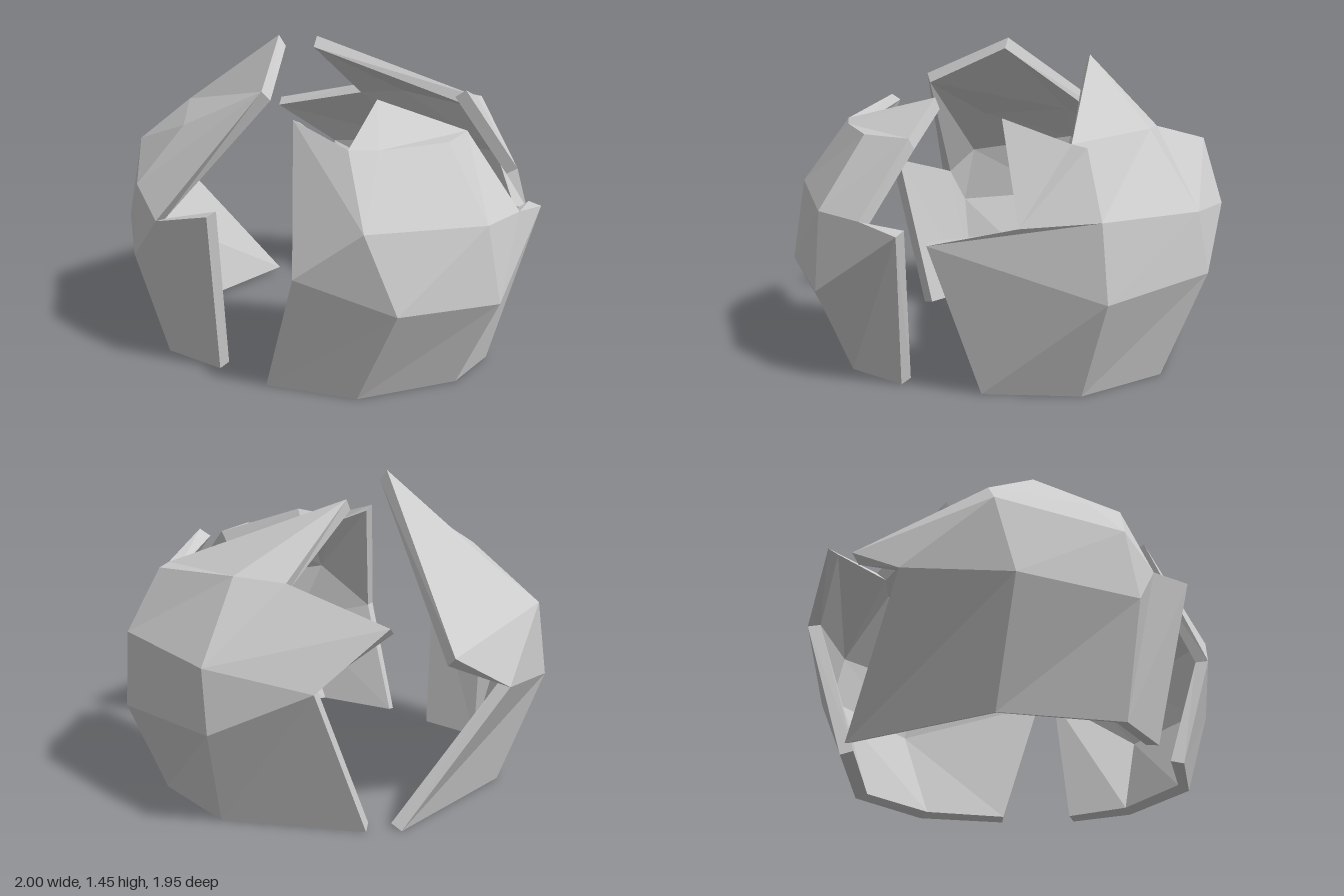
import * as THREE from 'three';

const THICKNESS = 0.06;

// Turns an outer skin of named corners and polygons into a solid plate:
// outer skin, inner skin pushed in along the normals, and walls round the rim.
function shellPiece(name, corners, polygons) {
  const outer = {}, normal = {}, inner = {};
  for (const k in corners) {
    outer[k] = new THREE.Vector3(...corners[k]);
    normal[k] = new THREE.Vector3();
  }
  const triangles = [], edges = new Set();
  for (const polygon of polygons) {
    const keys = polygon.split(' ');
    keys.forEach((k, i) => edges.add(k + ' ' + keys[(i + 1) % keys.length]));
    for (let i = 1; i < keys.length - 1; i++) triangles.push([keys[0], keys[i], keys[i + 1]]);
  }
  for (const [a, b, c] of triangles) {
    const n = outer[b].clone().sub(outer[a]).cross(outer[c].clone().sub(outer[a]));
    for (const k of [a, b, c]) normal[k].add(n);
  }
  for (const k in outer) inner[k] = outer[k].clone().addScaledVector(normal[k].normalize(), -THICKNESS);

  const points = [];
  for (const [a, b, c] of triangles) {
    points.push(outer[a], outer[b], outer[c], inner[a], inner[c], inner[b]);
  }
  for (const edge of edges) {
    const [a, b] = edge.split(' ');
    if (edges.has(b + ' ' + a)) continue;
    points.push(outer[b], outer[a], inner[a], outer[b], inner[a], inner[b]);
  }
  const geometry = new THREE.BufferGeometry().setFromPoints(points);
  geometry.computeVertexNormals();
  const mesh = new THREE.Mesh(geometry, new THREE.MeshStandardMaterial({ color: 0xcccccc, flatShading: true }));
  mesh.name = name;
  return mesh;
}

export function createModel() {
  const group = new THREE.Group();
  group.name = 'crackedShell';

  // Front piece: a = bottom, b = belt, c = shoulder, d = top
  group.add(shellPiece('frontShell', {
    a0: [-0.17, 0, 0.75], a1: [0.24, 0, 0.83], a2: [0.65, 0, 0.59], a3: [0.78, 0, 0.31],
    b0: [-0.02, 0.56, 0.92], b1: [0.42, 0.44, 0.97], b2: [0.83, 0.41, 0.68], b3: [1, 0.72, 0.24],
    c1: [0.28, 0.785, 0.97], c2: [0.77, 0.755, 0.68], c3: [0.9, 0.75, 0.44],
    d0: [-0.06, 1.17, 0.64], notch: [0.19, 1.08, 0.77], d1: [0.31, 1.07, 0.72],
    d2: [0.59, 1.07, 0.53], d3: [0.66, 1.07, 0.3], peak: [0.26, 1.2, 0.31],
  }, [
    'a0 a1 b1 b0', 'a1 a2 b2 b1', 'a2 a3 b3 b2',
    'b0 b1 c1', 'b1 b2 c2 c1', 'b2 b3 c3 c2',
    'c1 d1 notch d0 b0', 'c1 c2 d2 d1', 'c2 c3 d3 d2', 'd1 d2 d3 peak notch',
  ]));

  // Back piece, reaching round to the left
  group.add(shellPiece('backShell', {
    a0: [0.8, 0, -0.06], a1: [0.72, 0, -0.48], a2: [0.37, 0, -0.77], a3: [-0.28, 0, -0.76],
    b0: [0.94, 0.675, 0.13], b1: [0.85, 0.45, -0.61], b2: [0.36, 0.48, -0.965], b3: [-0.1, 0.7, -0.98],
    c0: [0.9, 0.76, -0.25], c1: [0.84, 0.79, -0.58], c2: [0.39, 0.76, -0.92], c3: [-0.39, 0.96, -0.86],
    d0: [0.64, 1.17, -0.11], notch: [0.69, 1.08, -0.42], d1: [0.71, 1.07, -0.49],
    d2: [0.31, 1.1, -0.69], d3: [0.08, 1.08, -0.69], peak: [-0.11, 1.38, -0.34],
  }, [
    'a0 a1 b1 b0', 'a1 a2 b2 b1', 'a2 a3 b3 b2',
    'b0 b1 c1 c0', 'b1 b2 c2 c1', 'b2 b3 c2', 'b3 c3 c2',
    'c0 c1 d1 notch d0', 'c1 c2 d2 d1', 'c2 c3 d3 d2', 'd2 d3 peak notch d1',
  ]));

  // Right piece, the tallest
  group.add(shellPiece('rightShell', {
    a0: [-0.41, 0, 0.61], a1: [-0.69, 0, 0.45], a2: [-0.8, 0, -0.08], a3: [-0.43, 0, -0.72],
    b0: [-0.41, 0.77, 0.78], b1: [-0.82, 0.49, 0.51], b2: [-1, 0.52, 0], b3: [-0.86, 0.61, -0.48],
    notch: [-0.69, 0.68, 0.59], c1: [-0.81, 0.81, 0.46], c2: [-0.957, 0.89, -0.09], c3: [-0.64, 0.8, -0.71],
    d0: [-0.22, 1.26, 0.51], d1: [-0.62, 1.06, 0.33], d2: [-0.71, 1.09, -0.12], peak: [-0.22, 1.445, 0.09],
  }, [
    'a1 a0 b0 notch b1', 'a2 a1 b1 b2', 'a3 a2 b2 b3',
    'b1 notch c1', 'b2 b1 c1 c2', 'b3 b2 c2 c3',
    'c1 notch d0 d1', 'c2 c1 d1 d2', 'c3 c2 d2', 'c3 d2 peak', 'd2 d1 d0 peak',
  ]));

  return group;
}
